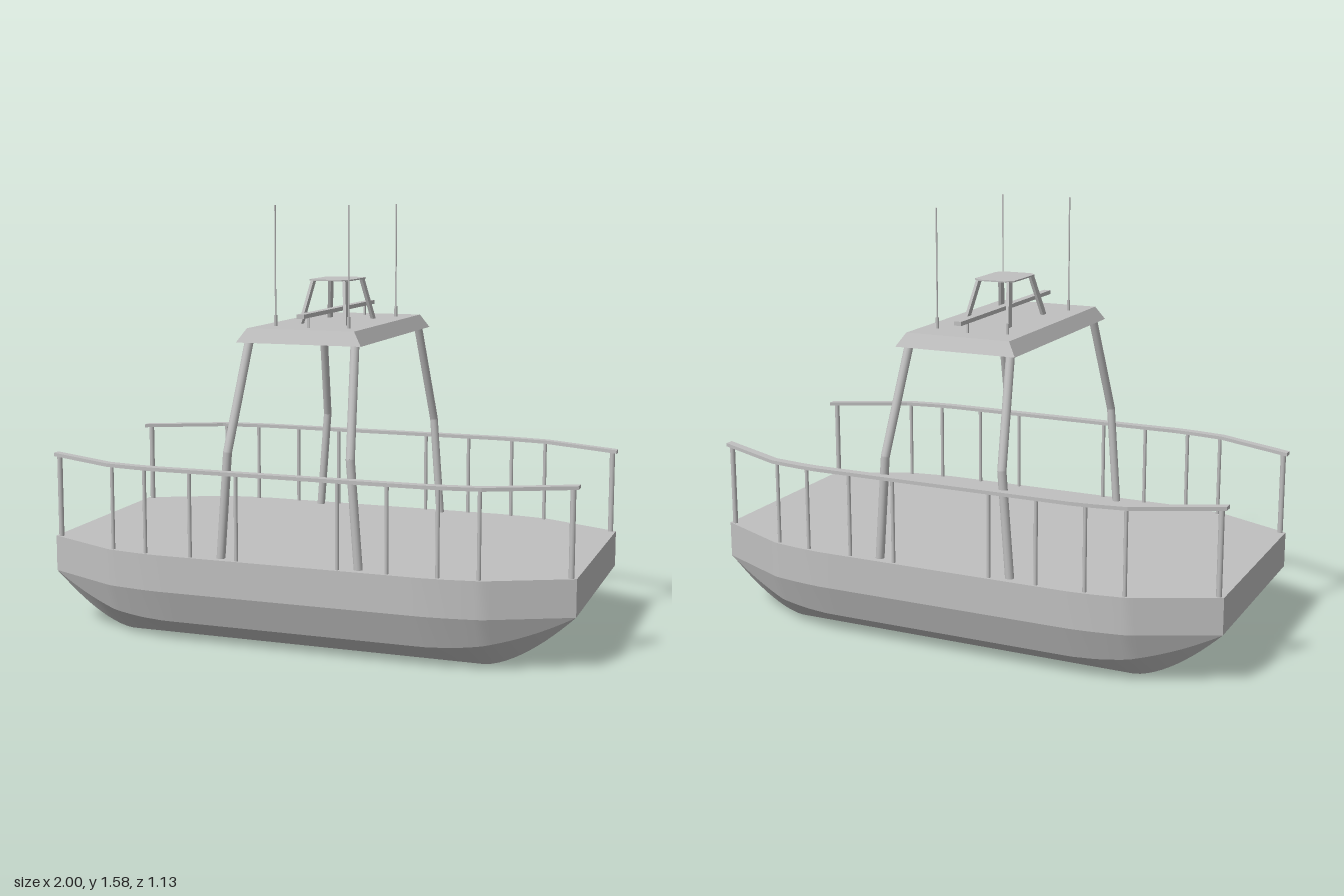
import * as THREE from 'three';

const grey = new THREE.MeshStandardMaterial({ color: 0xc0c0c0 });
grey.name = 'lightGrey';

// Half width of the deck at a given x
const outline = [[0, 0.56], [0.5, 0.56], [0.58, 0.553], [0.7, 0.535], [1, 0.395]];
function halfWidth(x) {
  const a = Math.abs(x);
  for (let i = 1; i < outline.length; i++) {
    const [x0, w0] = outline[i - 1], [x1, w1] = outline[i];
    if (a <= x1) return w0 + (w1 - w0) * (a - x0) / (x1 - x0);
  }
  return 0.395;
}

function add(parent, name, geometry, x = 0, y = 0, z = 0) {
  const mesh = new THREE.Mesh(geometry, grey);
  mesh.name = name;
  mesh.position.set(x, y, z);
  parent.add(mesh);
  return mesh;
}

// Straight bar between two points
function bar(parent, name, a, b, r, sides = 12) {
  const p = new THREE.Vector3(...a), q = new THREE.Vector3(...b);
  const dir = q.clone().sub(p);
  const mesh = add(parent, name, new THREE.CylinderGeometry(r, r, dir.length(), sides));
  mesh.position.copy(p).add(q).multiplyScalar(0.5);
  mesh.quaternion.setFromUnitVectors(new THREE.Vector3(0, 1, 0), dir.normalize());
  return mesh;
}

function meshFrom(points, index) {
  const g = new THREE.BufferGeometry();
  g.setAttribute('position', new THREE.Float32BufferAttribute(points.flat(), 3));
  g.setIndex(index);
  g.computeVertexNormals();
  return g;
}

// Hull cross-section: deck edge, waterline, chine and keel, on both sides
function section(x) {
  const a = Math.abs(x), w = halfWidth(x);
  const rise = Math.max(0, (a - 0.68) / 0.32) ** 1.6;
  const chine = Math.max(0, (a - 0.45) / 0.55) ** 2.4;
  const half = [
    [0.335, w], [0.2, w],
    [0.08 + 0.12 * chine, w - 0.045 * (1 - chine)],
    [0.003 + 0.197 * rise, 0.392],
  ];
  const ring = half.map(([y, z]) => [x, y, z]);
  return ring.concat(half.slice().reverse().map(([y, z]) => [x, y, -z]));
}

function buildHull(group) {
  const xs = [0, 0.25, 0.45, 0.5, 0.58, 0.64, 0.68];
  for (let i = 1; i <= 12; i++) xs.push(0.68 + 0.32 * i / 12);
  const stations = [...xs.slice(1).reverse().map(x => -x), ...xs].map(section);
  const names = ['side', 'flare', 'bilge', 'bottom', 'bilge', 'flare', 'side', 'deck'];
  names.forEach((name, k) => {
    const pts = [], idx = [];
    stations.forEach((s, i) => {
      pts.push(s[k], s[(k + 1) % 8]);
      if (i) {
        const a = 2 * i - 2;
        idx.push(a, a + 1, a + 3, a, a + 3, a + 2);
      }
    });
    add(group, name, meshFrom(pts, idx));
  });
  // Flat end faces
  for (const s of [-1, 1]) {
    const r = section(s);
    add(group, 'endFace', meshFrom([r[0], r[1], r[6], r[7]],
      s > 0 ? [0, 1, 2, 0, 2, 3] : [0, 2, 1, 0, 3, 2]));
  }
}

function buildRailing(group, side) {
  // Flat handrail following the deck edge
  const xs = [-1, -0.7, -0.58, -0.5, 0.5, 0.58, 0.7, 1];
  const outer = xs.map(x => new THREE.Vector2(x, side * (halfWidth(x) + 0.004)));
  const inner = xs.map(x => new THREE.Vector2(x, side * (halfWidth(x) - 0.03))).reverse();
  const g = new THREE.ExtrudeGeometry(new THREE.Shape([...outer, ...inner]), { depth: 0.013, bevelEnabled: false });
  g.rotateX(Math.PI / 2);
  add(group, 'handrail', g, 0, 0.656, 0);
  for (const x of [0.19, 0.37, 0.55, 0.69, 0.98]) {
    for (const s of [-1, 1]) {
      const r = x > 0.9 ? 0.01 : 0.007;
      const z = side * (halfWidth(x) - 0.015);
      bar(group, 'railPost', [s * x, 0.33, z], [s * x, 0.645, z], r, 10);
    }
  }
}

function buildRoof(group) {
  // Bent legs
  for (const s of [-1, 1]) for (const t of [-1, 1]) {
    const foot = [s * 0.26, 0.33, t * 0.52];
    const knee = [s * 0.23, 0.72, t * 0.52];
    const head = [s * 0.2, 1.105, t * 0.385];
    bar(group, 'lowerLeg', foot, knee, 0.016);
    bar(group, 'upperLeg', knee, head, 0.016);
    add(group, 'knee', new THREE.SphereGeometry(0.016, 12, 8), ...knee);
  }
  // Roof slab with sloping edges
  const slab = new THREE.BoxGeometry(0.47, 0.05, 0.85);
  const p = slab.attributes.position;
  for (let i = 0; i < p.count; i++) {
    if (p.getY(i) > 0) p.setXYZ(i, p.getX(i) * 0.86, p.getY(i), p.getZ(i) * 0.945);
  }
  slab.computeVertexNormals();
  add(group, 'roof', slab, 0, 1.127, 0);
}

function buildRoofGear(group) {
  // Long bar on two brackets
  add(group, 'roofBar', new THREE.BoxGeometry(0.028, 0.015, 0.79), 0, 1.198, 0);
  for (const t of [-1, 1]) {
    add(group, 'barBracket', new THREE.BoxGeometry(0.007, 0.045, 0.008), 0, 1.17, t * 0.315);
  }
  // Four antenna bases, three of them carrying whips
  for (const s of [-1, 1]) for (const t of [-1, 1]) {
    bar(group, 'antennaBase', [s * 0.14, 1.15, t * 0.28], [s * 0.14, 1.192, t * 0.28], 0.006, 10);
    if (s > 0 || t > 0) {
      bar(group, 'antenna', [s * 0.14, 1.19, t * 0.28], [s * 0.14, 1.587, t * 0.28], 0.003, 8);
    }
  }
  // Raised platform on four splayed legs
  const c = 0.025, hx = 0.08, hz = 0.115;
  const plate = new THREE.ExtrudeGeometry(new THREE.Shape([
    [hx, hz - c], [hx - c, hz], [c - hx, hz], [-hx, hz - c],
    [-hx, c - hz], [c - hx, -hz], [hx - c, -hz], [hx, c - hz],
  ].map(([x, z]) => new THREE.Vector2(x, z))), { depth: 0.005, bevelEnabled: false });
  plate.rotateX(Math.PI / 2);
  add(group, 'platform', plate, 0, 1.313, 0);
  for (const s of [-1, 1]) for (const t of [-1, 1]) {
    const leg = new THREE.BoxGeometry(0.011, 0.16, 0.03);
    const p = leg.attributes.position;
    for (let i = 0; i < p.count; i++) {
      const up = p.getY(i) > 0;
      p.setX(i, p.getX(i) + s * (up ? 0.062 : 0.088));
      p.setZ(i, p.getZ(i) + t * (up ? 0.095 : 0.158));
    }
    leg.computeVertexNormals();
    add(group, 'platformLeg', leg, 0, 1.23, 0);
  }
}

export function createModel() {
  const model = new THREE.Group();
  model.name = 'boat';
  const part = name => {
    const g = new THREE.Group();
    g.name = name;
    model.add(g);
    return g;
  };
  buildHull(part('hull'));
  buildRailing(part('leftRailing'), 1);
  buildRailing(part('rightRailing'), -1);
  buildRoof(part('canopy'));
  buildRoofGear(part('roofGear'));
  return model;
}
